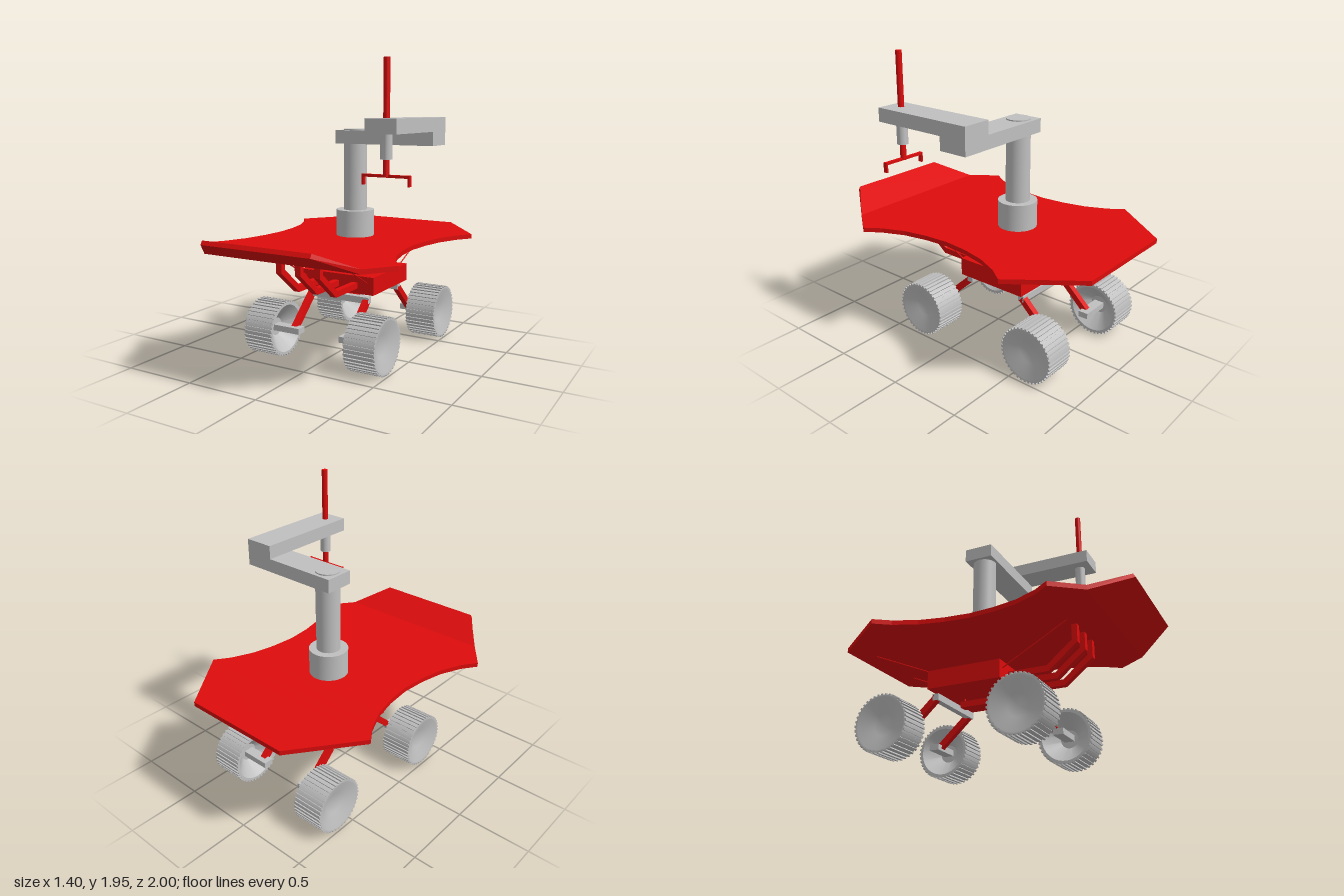
import * as THREE from 'three';
import { mergeGeometries, toCreasedNormals } from 'three/addons/utils/BufferGeometryUtils.js';

const red = new THREE.MeshStandardMaterial({ color: 0xdd0c0c });
red.name = 'red paint';
const grey = new THREE.MeshStandardMaterial({ color: 0xc0c0c0 });
grey.name = 'grey metal';

// Deck: cross-sections along z, each [z, half width, top y, bottom y]
function deckGeometry() {
  const T = 0.785, B = 0.755;
  const side = [[0, 0.515], [0.17, 0.53], [0.33, 0.565], [0.48, 0.63], [0.58, 0.7]];
  const rows = [[-1, 0.38, T, B]];
  for (const [z, w] of [...side].reverse()) rows.push([-z, w, T, B]);
  for (const [z, w] of side.slice(1)) rows.push([z, w, T, B]);
  rows.push([0.765, 0.56, T, B], [0.993, 0.38, 0.893, 0.868]);
  const rings = rows.map(([z, w, t, b], i) => {
    const last = i === rows.length - 1;
    const zt = last ? z - 0.007 : z, zb = last ? z + 0.007 : z;
    return [[-w, t, zt], [w, t, zt], [w, b, zb], [-w, b, zb]];
  });
  const pos = [];
  const quad = (a, b, c, d) => pos.push(...a, ...b, ...c, ...a, ...c, ...d);
  for (let i = 0; i < rings.length - 1; i++) {
    const r = rings[i], s = rings[i + 1];
    for (let k = 0; k < 4; k++) quad(r[k], s[k], s[(k + 1) % 4], r[(k + 1) % 4]);
  }
  quad(...rings[0]);
  quad(...[...rings[rings.length - 1]].reverse());
  const g = new THREE.BufferGeometry();
  g.setAttribute('position', new THREE.Float32BufferAttribute(pos, 3));
  g.computeVertexNormals();
  return g;
}

// Wheel: dished drum along y (outer face at +y) with tread bars
function wheelGeometry() {
  const h = 0.108, r = 0.178;
  const profile = [
    [0, -0.02], [0.06, -0.02], [0.16, -h], [r, -h],
    [r, h], [0.165, h], [0.07, 0.065], [0, 0.065],
  ].map(([x, y]) => new THREE.Vector2(x, y));
  const parts = [toCreasedNormals(new THREE.LatheGeometry(profile, 40), 0.5)];
  const bars = 40;
  for (let i = 0; i < bars; i++) {
    const bar = new THREE.BoxGeometry(0.02, h * 2, 0.013);
    bar.translate(r - 0.001, 0, 0).rotateY((i / bars) * Math.PI * 2);
    parts.push(bar.toNonIndexed());
  }
  return mergeGeometries(parts);
}

export function createModel() {
  const model = new THREE.Group();
  model.name = 'rover';

  const add = (name, geo, mat, parent = model) => {
    const m = new THREE.Mesh(geo, mat);
    m.name = name;
    parent.add(m);
    return m;
  };
  // Box given by its x, y and z ranges
  const box = (name, mat, [x0, x1], [y0, y1], [z0, z1], parent) => {
    const m = add(name, new THREE.BoxGeometry(x1 - x0, y1 - y0, z1 - z0), mat, parent);
    m.position.set((x0 + x1) / 2, (y0 + y1) / 2, (z0 + z1) / 2);
    return m;
  };
  // Upright cylinder from y0 to y1
  const post = (name, mat, r, y0, y1, x, z, sides = 32) => {
    const geo = toCreasedNormals(new THREE.CylinderGeometry(r, r, y1 - y0, sides), 0.6);
    add(name, geo, mat).position.set(x, (y0 + y1) / 2, z);
  };
  // Bar between two points
  const strut = (name, mat, a, b, geoFor, parent) => {
    const A = new THREE.Vector3(...a), B = new THREE.Vector3(...b);
    const d = B.clone().sub(A);
    const m = add(name, geoFor(d.length()), mat, parent);
    m.position.copy(A).add(B).multiplyScalar(0.5);
    m.quaternion.setFromUnitVectors(new THREE.Vector3(0, 1, 0), d.normalize());
  };

  // Deck and body
  add('deck', deckGeometry(), red);
  box('body', red, [-0.28, 0.28], [0.44, 0.56], [-0.42, 0.09]);

  // Bent square supports under the front of the deck
  const outline = [
    [0.556, 0.765], [0.556, 0.635], [0.36, 0.475], [0.08, 0.475],
    [0.08, 0.515], [0.35, 0.515], [0.52, 0.655], [0.52, 0.765],
  ].map(([z, y]) => new THREE.Vector2(z, y));
  for (const x of [-0.14, 0, 0.14]) {
    const geo = new THREE.ExtrudeGeometry(new THREE.Shape(outline), { depth: 0.042, bevelEnabled: false });
    geo.translate(0, 0, -0.021).rotateY(-Math.PI / 2);
    add('deckSupport', geo, red).position.x = x;
  }

  // Stay wires
  const wire = (len) => new THREE.CylinderGeometry(0.004, 0.004, len, 8);
  for (const x of [-0.235, 0.235]) {
    strut('frontStay', red, [x, 0.76, 0.53], [x, 0.515, 0.085], wire);
    strut('rearStay', red, [x, 0.76, -0.88], [x, 0.555, -0.4], wire);
  }

  // Chassis beam hung below the body
  box('chassisBeam', red, [-0.03, 0.03], [0.375, 0.415], [-0.315, -0.016]);
  for (const z of [-0.03, -0.3]) post('beamHanger', red, 0.007, 0.41, 0.445, 0, z, 10);

  // Running gear: mirrored front to back and side to side
  const wheel = wheelGeometry();
  const legBox = (len) => new THREE.BoxGeometry(0.04, len, 0.042);
  const midZ = -0.163;
  for (const end of [1, -1]) {
    const axle = new THREE.Group();
    axle.name = end > 0 ? 'frontAxle' : 'rearAxle';
    model.add(axle);
    const barZ = midZ + end * 0.221, wheelZ = midZ + end * 0.452;
    box('crossbar', grey, [-0.235, 0.235], [0.375, 0.418], [barZ - 0.022, barZ + 0.022], axle);
    for (const s of [1, -1]) {
      strut('leg', red, [s * 0.215, 0.395, barZ], [s * 0.215, 0.195, wheelZ - end * 0.015], legBox, axle);
      const span = [s * 0.154, s * 0.385].sort((a, b) => a - b);
      box('hubArm', grey, span, [0.17, 0.21], [wheelZ - 0.035, wheelZ + 0.035], axle);
      const w = add('wheel', wheel, grey, axle);
      w.position.set(s * 0.378, 0.188, wheelZ);
      w.rotation.z = -s * Math.PI / 2;
    }
  }

  // Mast and two-part arm
  post('mastBase', grey, 0.13, 0.78, 0.965, 0, -0.166, 40);
  post('mast', grey, 0.08, 0.96, 1.518, 0, -0.166);
  box('lowerArm', grey, [-0.1, 0.615], [1.42, 1.51], [-0.268, -0.068]);
  box('upperArm', grey, [0.41, 0.615], [1.51, 1.6], [-0.268, 0.457]);

  // Tool rod and gripper
  const tx = 0.507, tz = 0.368;
  post('toolCollar', grey, 0.036, 1.36, 1.515, tx, tz, 24);
  post('toolRod', red, 0.02, 1.255, 1.95, tx, tz, 20);
  box('gripperBar', red, [tx - 0.157, tx + 0.157], [1.253, 1.27], [tz - 0.01, tz + 0.01]);
  for (const s of [1, -1]) {
    const x = tx + s * 0.151;
    box('gripperFinger', red, [x - 0.006, x + 0.006], [1.205, 1.27], [tz - 0.014, tz + 0.014]);
  }
  return model;
}
